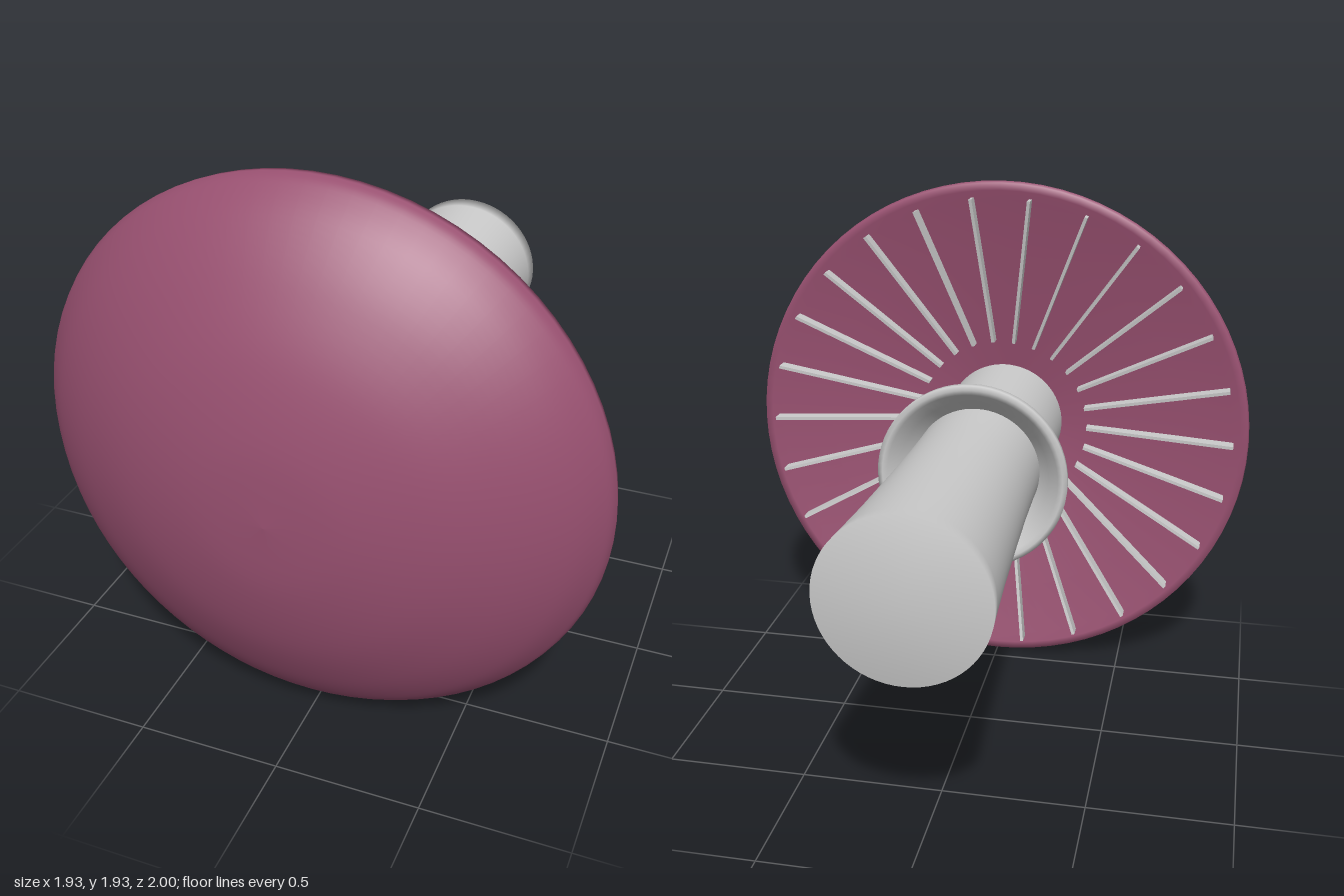
import * as THREE from 'three';

const GREY = new THREE.MeshStandardMaterial({ color: 0xcccccc });
const CAP = new THREE.MeshStandardMaterial({ color: 0x985070 });

const vec = (pts) => pts.map(([x, y]) => new THREE.Vector2(x, y));

// Revolved part around the mushroom's own (local y) axis
function lathe(name, points, material, segments = 64) {
  const mesh = new THREE.Mesh(new THREE.LatheGeometry(points, segments), material);
  mesh.name = name;
  return mesh;
}

export function createModel() {
  const model = new THREE.Group();
  model.name = 'mushroom';

  // Cap: shallow hollow cone underneath, rounded lip, domed top
  const dome = new THREE.SplineCurve(vec([
    [0.967, 0.59], [0.945, 0.635], [0.86, 0.725], [0.71, 0.825],
    [0.5, 0.92], [0.25, 0.982], [0, 1],
  ])).getPoints(36);
  const underside = vec([[0.18, 0.71], [0.45, 0.665], [0.7, 0.618], [0.9, 0.578], [0.935, 0.566], [0.962, 0.565]]);
  model.add(lathe('cap', [...underside, ...dome], CAP, 80));

  // Stem: slender under the cap, flaring to a flat foot
  model.add(lathe('stem', vec([
    [0, -1], [0.275, -1], [0.271, -0.94], [0.257, -0.7], [0.244, -0.4],
    [0.235, -0.15], [0.231, 0.05], [0.23, 0.4], [0.23, 0.74],
  ]), GREY));

  // Ring: flared skirt around the stem, hollow on the foot side
  model.add(lathe('ring', vec([
    [0.225, 0.12], [0.27, 0.07], [0.31, 0.022], [0.328, 0.015], [0.345, 0.018],
    [0.343, 0.05], [0.315, 0.095], [0.275, 0.148], [0.24, 0.18], [0.225, 0.195],
  ]), GREY));

  // Gills: thin blades radiating under the cap
  const blade = new THREE.Shape(vec([[0.335, 0.64], [0.91, 0.525], [0.91, 0.6], [0.335, 0.715]]));
  const thickness = 0.012;
  const gillGeometry = new THREE.ExtrudeGeometry(blade, { depth: thickness, bevelEnabled: false });
  gillGeometry.translate(0, 0, -thickness / 2);
  const gills = new THREE.Group();
  gills.name = 'gills';
  const count = 26;
  for (let i = 0; i < count; i++) {
    const gill = new THREE.Mesh(gillGeometry, GREY);
    gill.name = 'gill';
    gill.rotation.y = (i / count) * Math.PI * 2;
    gills.add(gill);
  }
  model.add(gills);

  // Lay the mushroom on its side, cap facing +z
  model.rotation.x = Math.PI / 2;
  model.position.y = 0.967;
  const root = new THREE.Group();
  root.name = 'lyingMushroom';
  root.add(model);
  return root;
}
